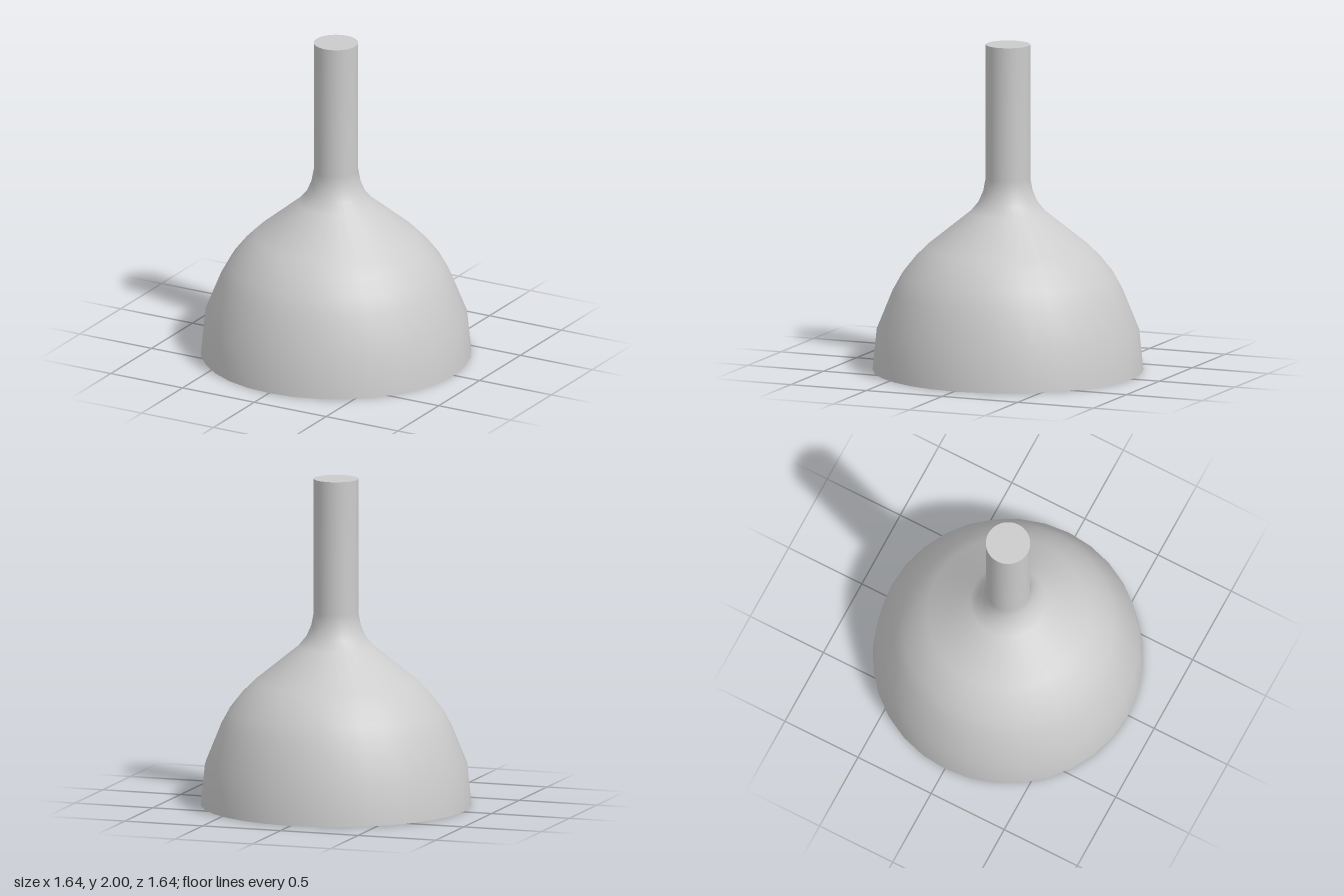
import * as THREE from 'three';

const SIDES = 32;

export function createModel() {
  const model = new THREE.Group();
  const material = new THREE.MeshStandardMaterial({ color: 0xcccccc });

  // Turned surface: each section is smooth, with sharp edges between sections
  const turn = (name, profile) => {
    const points = profile.map(([r, y]) => new THREE.Vector2(r, y));
    const mesh = new THREE.Mesh(new THREE.LatheGeometry(points, SIDES), material);
    mesh.name = name;
    model.add(mesh);
  };

  // Hollow inside the bell: sloped ceiling, then flared wall
  turn('innerCeiling', [[0, 0.87], [0.2, 0.78], [0.59, 0.49]]);
  turn('innerWall', [[0.59, 0.49], [0.72, 0]]);

  // Flat ring the bell stands on
  turn('rim', [[0.72, 0], [0.82, 0]]);

  // Bell, shoulder and neck flowing into the handle
  turn('bellAndHandle', [
    [0.82, 0], [0.795, 0.25], [0.7, 0.485], [0.645, 0.585], [0.57, 0.68],
    [0.49, 0.76], [0.23, 0.97], [0.18, 1.03], [0.15, 1.1], [0.135, 1.18], [0.135, 2],
  ]);

  // Flat end of the handle
  turn('handleTop', [[0.135, 2], [0, 2]]);

  return model;
}
